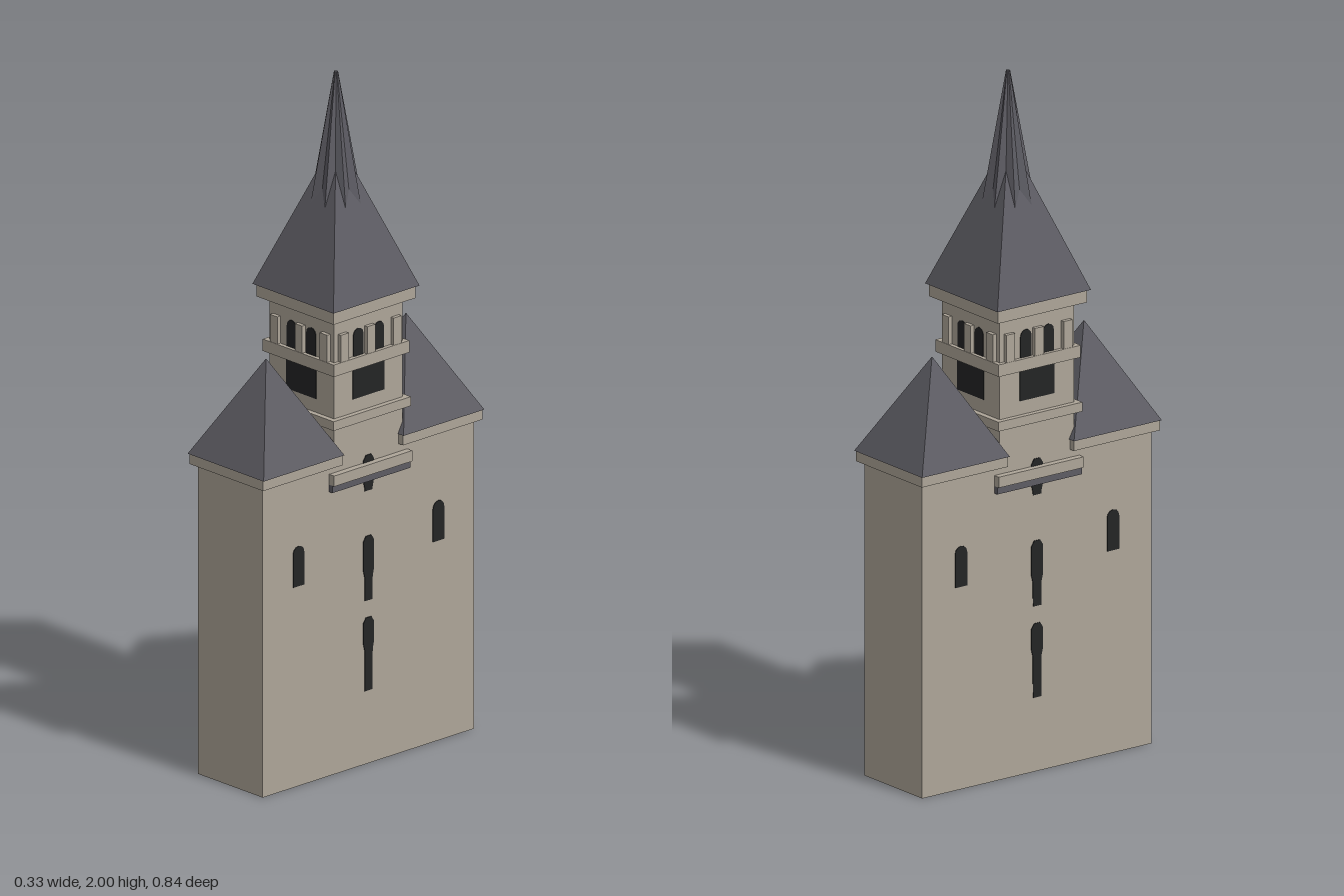
import * as THREE from 'three';

const mat = (name, color, extra = {}) => {
  const m = new THREE.MeshStandardMaterial({ color, flatShading: true, ...extra });
  m.name = name;
  return m;
};

export function createModel() {
  const stone = mat('stone', 0xada598);
  const slate = mat('slate', 0x5d5c63);
  const dark = mat('dark opening', 0x232425);
  const model = new THREE.Group();
  model.name = 'gateTower';

  const add = (parent, name, geo, material, x = 0, y = 0, z = 0) => {
    const m = new THREE.Mesh(geo, material);
    m.name = name;
    m.position.set(x, y, z);
    parent.add(m);
    return m;
  };
  // box given by its bottom and top heights
  const block = (parent, name, w, y0, y1, d, material, x = 0, z = 0) =>
    add(parent, name, new THREE.BoxGeometry(w, y1 - y0, d), material, x, (y0 + y1) / 2, z);
  // square pyramid with half width r
  const pyramid = (name, r, y0, y1, z) => {
    const g = new THREE.CylinderGeometry(0, r * Math.SQRT2, y1 - y0, 4);
    g.rotateY(Math.PI / 4);
    return add(model, name, g, slate, 0, (y0 + y1) / 2, z);
  };
  // thin plate from an outline, lying on a wall facing local +z
  const plate = (parent, name, pts, x, y, z) => {
    const s = new THREE.Shape(pts.map(p => new THREE.Vector2(...p)));
    return add(parent, name, new THREE.ExtrudeGeometry(s, { depth: 0.003, bevelEnabled: false }), dark, x, y, z);
  };
  // outline with a rounded head
  const arch = (hw, h) => {
    const pts = [[-hw, 0], [hw, 0]];
    for (let i = 0; i <= 6; i++) {
      const a = i * Math.PI / 6;
      pts.push([hw * Math.cos(a), h - hw + hw * Math.sin(a)]);
    }
    return pts;
  };
  // arrow slit: narrow foot, wider head with cut corners
  const slit = (h, foot) => [[-0.014, 0], [0.014, 0], [0.015, foot], [0.02, foot + 0.02], [0.02, h - 0.015],
    [0.01, h], [-0.01, h], [-0.02, h - 0.015], [-0.02, foot + 0.02], [-0.015, foot]];

  // main block and central tower shaft
  block(model, 'body', 0.26, 0, 0.912, 0.8, stone);
  block(model, 'towerShaft', 0.26, 0.912, 1.34, 0.26, stone);

  // two end roofs with cornices
  for (const s of [1, -1]) {
    block(model, 'endCornice', 0.296, 0.91, 0.94, 0.3, stone, 0, s * 0.265);
    pyramid('endRoof', 0.153, 0.94, 1.222, s * 0.265);
  }

  // long walls: windows, slits and ledge
  for (const s of [1, -1]) {
    const wall = new THREE.Group();
    wall.name = 'longWall';
    wall.rotation.y = s * Math.PI / 2;
    model.add(wall);
    for (const x of [-0.265, 0.265]) plate(wall, 'wallWindow', arch(0.021, 0.118), x, 0.588, 0.129);
    plate(wall, 'lowerSlit', slit(0.215, 0.12), 0, 0.215, 0.129);
    plate(wall, 'middleSlit', slit(0.19, 0.07), 0, 0.48, 0.129);
    plate(wall, 'upperSlit', slit(0.105, 0.01), 0, 0.803, 0.129);
    block(wall, 'ledge', 0.296, 0.856, 0.887, 0.03, stone, 0, 0.135);
    block(wall, 'ledgeUnderside', 0.296, 0.835, 0.856, 0.024, slate, 0, 0.131);
  }

  // tower string courses and cornice
  block(model, 'lowerCourse', 0.292, 1.018, 1.045, 0.292, stone);
  block(model, 'belfrySill', 0.286, 1.175, 1.21, 0.286, stone);
  block(model, 'towerCornice', 0.31, 1.335, 1.372, 0.31, stone);

  // belfry, the same on four sides
  for (let i = 0; i < 4; i++) {
    const side = new THREE.Group();
    side.name = 'belfrySide';
    side.rotation.y = i * Math.PI / 2;
    model.add(side);
    plate(side, 'belfryOpening', [[-0.06, 0], [0.06, 0], [0.06, 0.09], [-0.06, 0.09]], 0, 1.085, 0.129);
    for (const x of [-0.039, 0.039]) plate(side, 'belfryArch', arch(0.019, 0.082), x, 1.208, 0.129);
    for (const x of [-0.1, 0, 0.1]) block(side, 'pilaster', 0.03, 1.205, 1.29, 0.016, stone, x, 0.134);
  }

  // main roof and star-shaped spire growing out of it
  pyramid('mainRoof', 0.163, 1.372, 1.805, 0);
  const y0 = 1.55, y1 = 2, rOut = 0.088, tip = 0.006, n = 16;
  const pos = [];
  const ring = (i, y, k) => {
    const a = (i + 1) * Math.PI / 8;
    const r = (i % 2 ? 0.78 : 1) * k;
    return [r * Math.sin(a), y, r * Math.cos(a)];
  };
  for (let i = 0; i < n; i++) {
    const a = ring(i, y0, rOut), b = ring(i + 1, y0, rOut);
    const c = ring(i + 1, y1, tip), d = ring(i, y1, tip);
    pos.push(...a, ...b, ...c, ...a, ...c, ...d, ...d, ...c, 0, y1, 0);
  }
  const spire = new THREE.BufferGeometry();
  spire.setAttribute('position', new THREE.Float32BufferAttribute(pos, 3));
  spire.computeVertexNormals();
  add(model, 'spire', spire, slate);

  return model;
}
